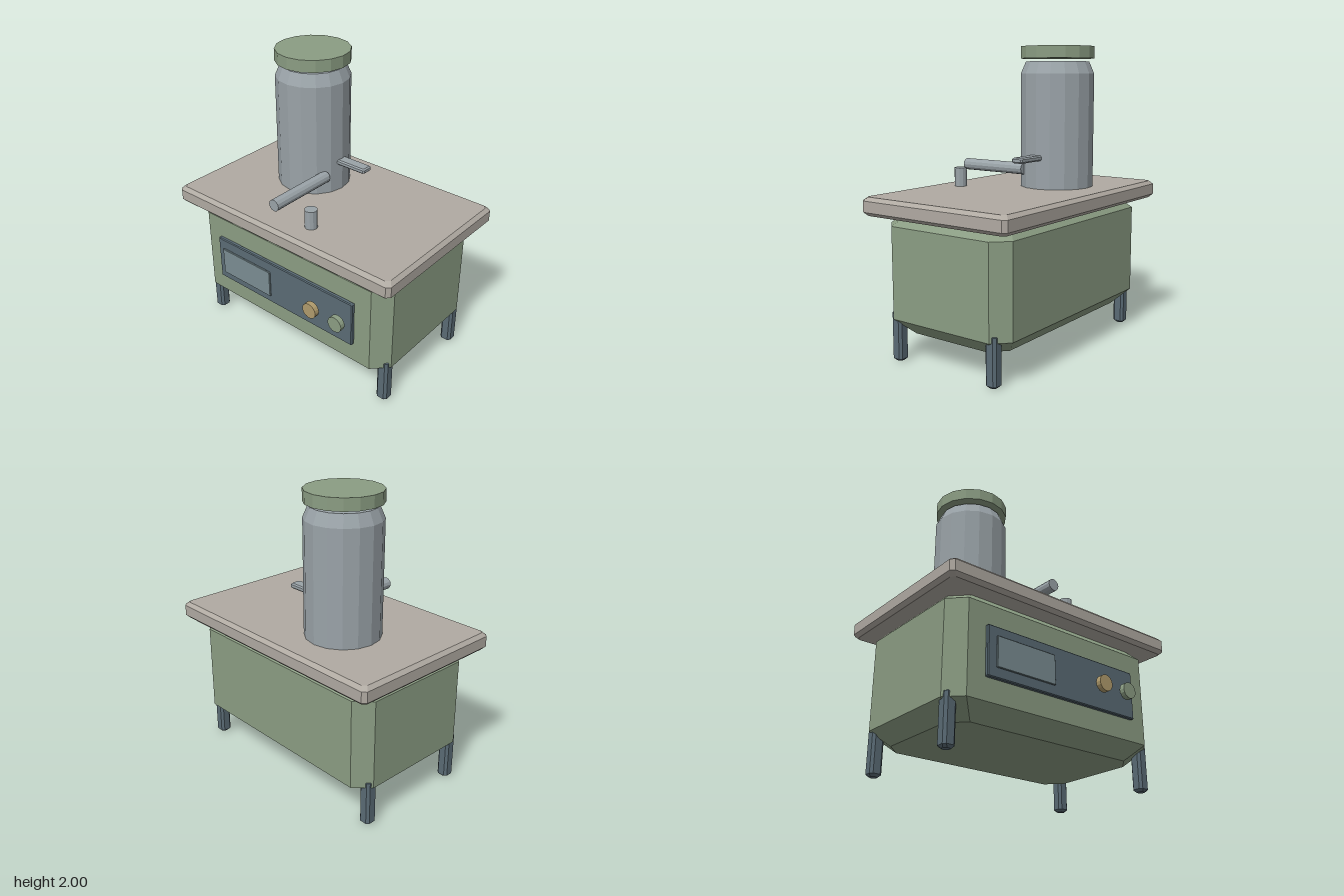
import * as THREE from 'three';
import { ConvexGeometry } from 'three/addons/geometries/ConvexGeometry.js';

const material = (color) => new THREE.MeshStandardMaterial({ color, flatShading: true });
const green = material(0x8b9d83);
const slate = material(0x5a6b75);
const glass = material(0x7a8d92);
const stone = material(0xb0aaa2);
const metal = material(0x9aa3a8);
const brass = material(0xb09b6c);

// Box with every edge cut at 45 degrees: four octagonal rings stacked in y
function chamferBox(w, h, d, c) {
  const points = [];
  for (const [y, inset] of [[-h / 2, c], [-h / 2 + c, 0], [h / 2 - c, 0], [h / 2, c]]) {
    const x = w / 2 - inset, z = d / 2 - inset;
    for (const sx of [-1, 1]) for (const sz of [-1, 1]) {
      points.push(new THREE.Vector3(sx * (x - c), y, sz * z));
      points.push(new THREE.Vector3(sx * x, y, sz * (z - c)));
    }
  }
  return new ConvexGeometry(points);
}

export function createModel() {
  const model = new THREE.Group();
  model.name = 'cookingStove';

  const add = (name, geometry, mat, x, y, z) => {
    const mesh = new THREE.Mesh(geometry, mat);
    mesh.name = name;
    mesh.position.set(x, y, z);
    model.add(mesh);
    return mesh;
  };

  // Cabinet and worktop
  add('body', chamferBox(1.62, 0.8, 0.97, 0.1), green, 0, 0.58, 0);
  add('worktop', chamferBox(1.786, 0.12, 1.136, 0.024), stone, 0, 1, 0);

  // Four corner legs
  for (const [side, sx] of [['left', 1], ['right', -1]]) {
    for (const [end, sz] of [['Front', 1], ['Back', -1]]) {
      add(`${side}${end}Leg`, chamferBox(0.08, 0.33, 0.08, 0.016), slate, sx * 0.76, 0.165, sz * 0.38);
    }
  }

  // Control panel, display and two knobs
  add('controlPanel', chamferBox(1.18, 0.32, 0.03, 0.006), slate, 0, 0.58, 0.5);
  add('display', chamferBox(0.44, 0.194, 0.014, 0.003), glass, -0.315, 0.578, 0.525);
  for (const [name, x, mat] of [['brassKnob', 0.29, brass], ['greenKnob', 0.5, green]]) {
    add(name, new THREE.CylinderGeometry(0.054, 0.054, 0.036, 16), mat, x, 0.58, 0.557).rotation.x = Math.PI / 2;
  }

  // Tall canister with a tapered shoulder and a raised lid
  const profile = [[0, 1.04], [0.25, 1.04], [0.25, 1.82], [0.215, 1.9], [0, 1.9]]
    .map(([r, y]) => new THREE.Vector2(r, y));
  add('canister', new THREE.LatheGeometry(profile, 16), metal, -0.27, 0, -0.13);
  add('lid', new THREE.CylinderGeometry(0.25, 0.25, 0.08, 16), green, -0.27, 1.96, -0.13);

  // Spout, side lever and worktop peg
  add('spout', new THREE.CylinderGeometry(0.04, 0.04, 0.5, 12), metal, -0.06, 1.185, 0.245).rotation.x = Math.PI / 2;
  add('lever', chamferBox(0.24, 0.036, 0.082, 0.009), metal, 0.075, 1.268, -0.128);
  add('peg', new THREE.CylinderGeometry(0.042, 0.042, 0.14, 12), metal, 0.148, 1.117, 0.38);

  return model;
}
